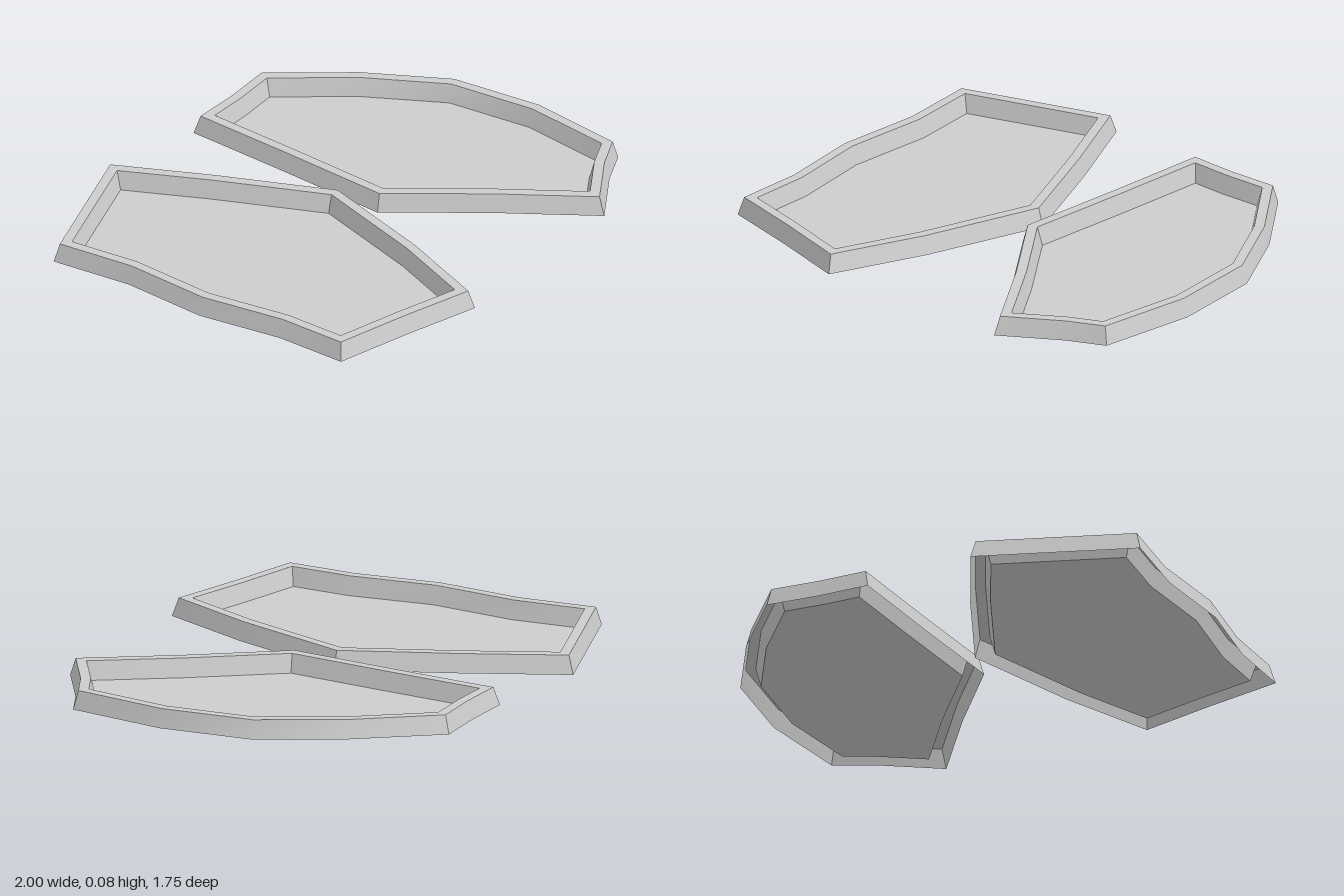
import * as THREE from 'three';
import { toCreasedNormals } from 'three/addons/utils/BufferGeometryUtils.js';

// Outlines at ground level as [x, z], clockwise seen from above
const LARGE = [
  [-0.362, -0.88], [-0.18, -0.485], [0.013, -0.02], [-0.152, 0.48], [-0.32, 0.87], [-0.64, 0.772],
  [-0.96, 0.685], [-0.953, 0.385], [-1, 0.03], [-0.97, -0.335], [-1, -0.675], [-0.68, -0.778],
];
const SMALL = [
  [0.115, -0.805], [0.335, -0.797], [0.55, -0.805], [0.787, -0.485], [0.965, -0.15], [1, 0.24],
  [0.94, 0.652], [0.785, 0.722], [0.545, 0.87], [0.303, 0.495], [0.045, 0.135], [0.083, -0.335],
];
// Rim cross-section: [distance inward, height]; hollow underneath
const PROFILE = [[0, 0], [0.02, 0.075], [0.06, 0.075], [0.08, 0]];

// Mitred inward offset of a closed outline
function inset(outline, d) {
  const n = outline.length;
  const normal = (i) => {
    const [ax, az] = outline[i % n], [bx, bz] = outline[(i + 1) % n];
    return new THREE.Vector2(az - bz, bx - ax).normalize();
  };
  return outline.map(([x, z], i) => {
    const a = normal(i + n - 1), b = normal(i);
    const k = d / (1 + a.dot(b));
    return [x + (a.x + b.x) * k, z + (a.y + b.y) * k];
  });
}

// Sweep the rim cross-section around the outline
function rimGeometry(outline) {
  const n = outline.length, pos = [], index = [];
  for (const [d, y] of PROFILE) for (const [x, z] of inset(outline, d)) pos.push(x, y, z);
  for (let r = 0; r < PROFILE.length - 1; r++) {
    for (let i = 0; i < n; i++) {
      const j = (i + 1) % n, a = r * n + i, b = r * n + j;
      index.push(a, a + n, b, b, a + n, b + n);
    }
  }
  const geo = new THREE.BufferGeometry();
  geo.setAttribute('position', new THREE.Float32BufferAttribute(pos, 3));
  geo.setIndex(index);
  return toCreasedNormals(geo, 0.55);
}

function createTray(name, outline, material) {
  const tray = new THREE.Group();
  tray.name = name;

  const rim = new THREE.Mesh(rimGeometry(outline), material);
  rim.name = 'rim';

  // Flat floor inside the rim
  const points = inset(outline, PROFILE[3][0]).map(([x, z]) => new THREE.Vector2(x, -z));
  const floor = new THREE.Mesh(new THREE.ShapeGeometry(new THREE.Shape(points)), material);
  floor.name = 'floor';
  floor.rotation.x = -Math.PI / 2;

  tray.add(rim, floor);
  return tray;
}

export function createModel() {
  const grey = new THREE.MeshStandardMaterial({ color: 0xcccccc, side: THREE.DoubleSide });
  grey.name = 'light grey';
  const model = new THREE.Group();
  model.name = 'trays';
  model.add(createTray('largeTray', LARGE, grey), createTray('smallTray', SMALL, grey));
  return model;
}
